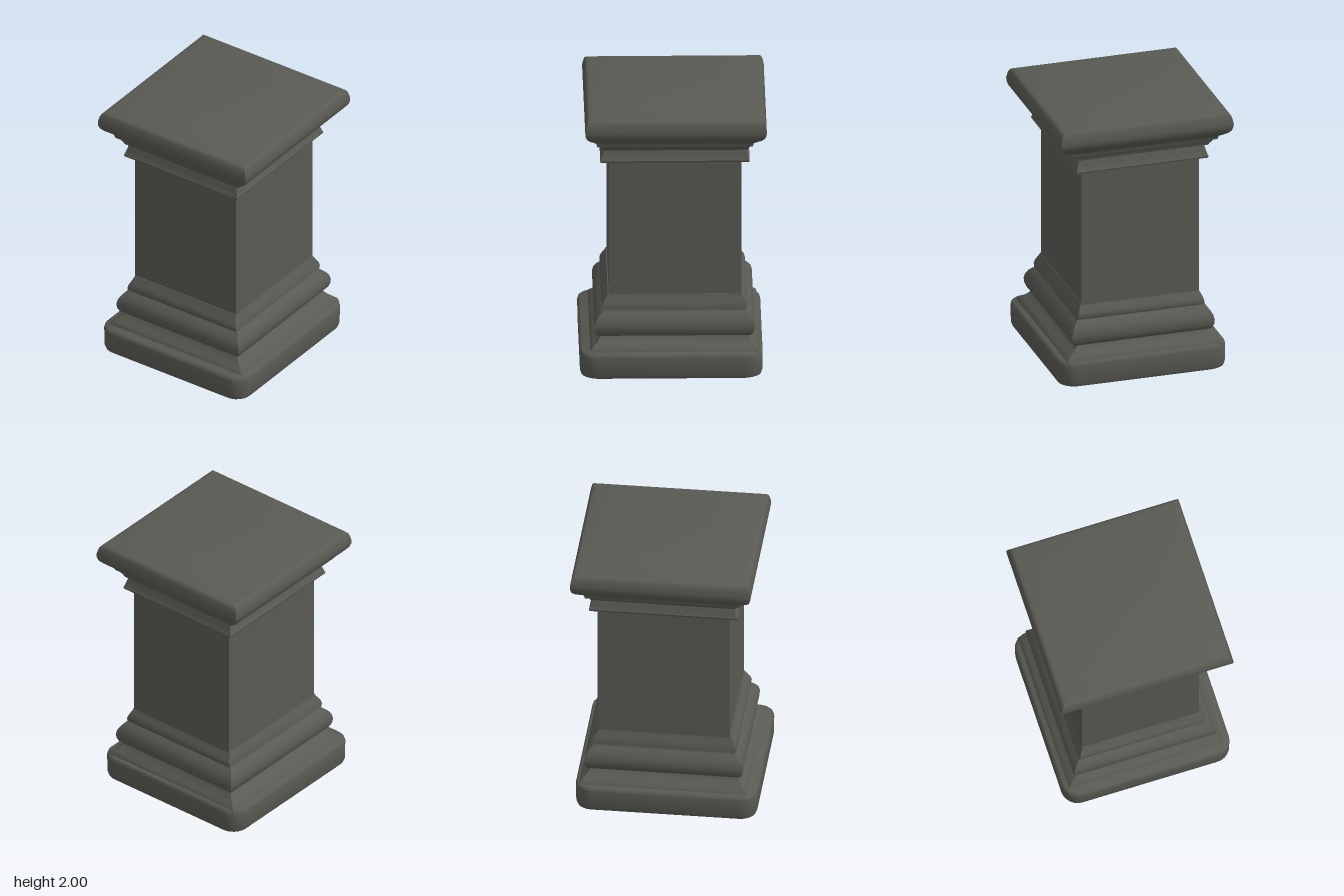
import * as THREE from 'three';
import { toCreasedNormals } from 'three/addons/utils/BufferGeometryUtils.js';

// Rectangular ring at height y; r rounds the corners using n points each
function ring([y, hx, hz, r = 0], cx, cz, n) {
  const pts = [];
  [[1, 1], [-1, 1], [-1, -1], [1, -1]].forEach(([sx, sz], q) => {
    for (let i = 0; i < n; i++) {
      const a = (q + (n > 1 ? i / (n - 1) : 0.5)) * Math.PI / 2;
      pts.push([
        cx + sx * (hx - r) + r * Math.cos(a),
        y,
        cz + sz * (hz - r) + r * Math.sin(a)
      ]);
    }
  });
  return pts;
}

// Closed solid lofted through rows of [height, half width, half depth, corner radius]
function loft(rows, cx, cz, n = 1) {
  const rings = rows.map(row => ring(row, cx, cz, n));
  const m = rings[0].length, pos = [];
  const tri = (a, b, c) => pos.push(...a, ...b, ...c);
  for (let k = 0; k < rings.length - 1; k++) {
    for (let i = 0; i < m; i++) {
      const j = (i + 1) % m, lo = rings[k], hi = rings[k + 1];
      tri(lo[i], hi[i], hi[j]);
      tri(lo[i], hi[j], lo[j]);
    }
  }
  const bottom = rings[0], top = rings[rings.length - 1];
  for (let i = 1; i < m - 1; i++) {
    tri(bottom[0], bottom[i], bottom[i + 1]);
    tri(top[0], top[i + 1], top[i]);
  }
  const geo = new THREE.BufferGeometry();
  geo.setAttribute('position', new THREE.Float32BufferAttribute(pos, 3));
  return toCreasedNormals(geo, Math.PI / 4.5);
}

export function createModel() {
  const group = new THREE.Group();
  const stone = new THREE.MeshStandardMaterial({ color: 0x5a5a54 });
  stone.name = 'dark stone';
  const add = (name, geo) => {
    const mesh = new THREE.Mesh(geo, stone);
    mesh.name = name;
    group.add(mesh);
  };

  // Foot slab with rounded corners
  add('plinth', loft([
    [0, 0.61, 0.585, 0.1], [0.012, 0.632, 0.607, 0.11], [0.035, 0.641, 0.616, 0.12],
    [0.165, 0.643, 0.618, 0.12], [0.183, 0.638, 0.613, 0.115], [0.193, 0.625, 0.6, 0.1]
  ], -0.015, 0.008, 7));

  // Stepped scotia, large torus and small torus
  add('baseMoulding', loft([
    [0.18, 0.595, 0.573], [0.205, 0.588, 0.565], [0.225, 0.567, 0.54],
    [0.25, 0.54, 0.508], [0.275, 0.521, 0.48], [0.288, 0.515, 0.477],
    [0.29, 0.535, 0.5], [0.305, 0.548, 0.512], [0.33, 0.559, 0.522],
    [0.365, 0.562, 0.525], [0.4, 0.554, 0.517], [0.43, 0.535, 0.5],
    [0.452, 0.512, 0.482], [0.466, 0.497, 0.468], [0.468, 0.503, 0.467],
    [0.49, 0.511, 0.467], [0.515, 0.505, 0.46], [0.54, 0.49, 0.45],
    [0.56, 0.477, 0.44], [0.58, 0.467, 0.434]
  ], 0.008, 0.005));

  add('shaft', loft([[0.55, 0.467, 0.433], [1.65, 0.467, 0.433]], 0.015, 0.003));

  // Flared necking under the top slab
  add('capitalMoulding', loft([
    [1.595, 0.522, 0.483], [1.608, 0.525, 0.487], [1.615, 0.52, 0.483],
    [1.645, 0.51, 0.474], [1.67, 0.503, 0.467], [1.685, 0.498, 0.463],
    [1.69, 0.512, 0.487], [1.705, 0.516, 0.497], [1.72, 0.524, 0.51],
    [1.735, 0.53, 0.525], [1.74, 0.546, 0.546], [1.765, 0.553, 0.551], [1.785, 0.57, 0.56]
  ], 0.012, 0.002));

  // Overhanging bullnosed slab with a low bevelled top
  add('topSlab', loft([
    [1.765, 0.548, 0.548], [1.785, 0.577, 0.576], [1.805, 0.605, 0.603],
    [1.83, 0.627, 0.624], [1.86, 0.637, 0.634], [1.885, 0.638, 0.635],
    [1.92, 0.63, 0.628], [1.945, 0.622, 0.619], [1.958, 0.61, 0.605],
    [1.964, 0.575, 0.57], [1.977, 0.52, 0.505], [1.987, 0.47, 0.455],
    [1.997, 0.36, 0.35], [2, 0.28, 0.28]
  ], 0.017, 0.002));

  return group;
}
